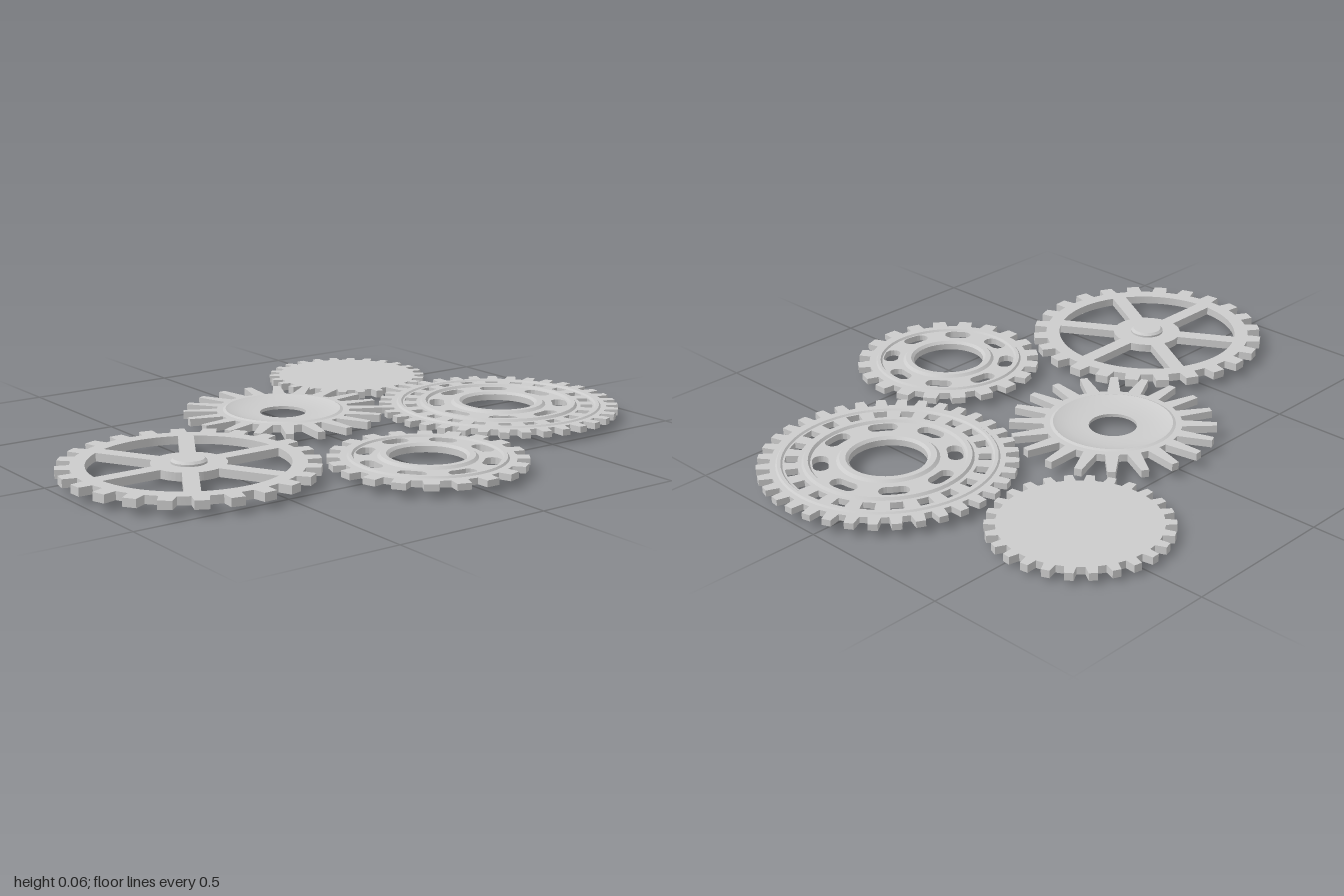
import * as THREE from 'three';
import { toCreasedNormals } from 'three/addons/utils/BufferGeometryUtils.js';

const TAU = Math.PI * 2;
const material = new THREE.MeshStandardMaterial({ color: 0xcccccc, side: THREE.DoubleSide });
const polar = (r, a) => new THREE.Vector2(r * Math.cos(a), r * Math.sin(a));

// Toothed outline: root and tip are fractions of one tooth pitch
function gearShape(teeth, rootR, tipR, rootFrac, tipFrac, phase = 0) {
  const pts = [], pitch = TAU / teeth;
  for (let i = 0; i < teeth; i++) {
    const a = phase + i * pitch, t = (tipFrac * pitch) / 2, b = (rootFrac * pitch) / 2;
    pts.push(polar(rootR, a - b), polar(tipR, a - t), polar(tipR, a + t), polar(rootR, a + b), polar(rootR, a + pitch / 2));
  }
  return new THREE.Shape(pts);
}

function circleHole(r) {
  return new THREE.Path().absarc(0, 0, r, 0, TAU, true);
}

// Annular sector opening; round gives it semicircular ends
function slot(r0, r1, mid, half, round) {
  const p = new THREE.Path(), a0 = mid - half, a1 = mid + half;
  const rm = (r0 + r1) / 2, e = (r1 - r0) / 2;
  p.absarc(0, 0, r1, a0, a1, false);
  if (round) {
    const c = polar(rm, a1);
    p.absarc(c.x, c.y, e, a1, a1 + Math.PI, false);
  }
  p.absarc(0, 0, r0, a1, a0, true);
  if (round) {
    const c = polar(rm, a0);
    p.absarc(c.x, c.y, e, a0 + Math.PI, a0 + TAU, false);
  }
  p.closePath();
  return p;
}

function addMesh(group, name, geometry) {
  const mesh = new THREE.Mesh(toCreasedNormals(geometry, 0.5), material);
  mesh.name = name;
  group.add(mesh);
}

function addPlate(group, name, shape, y0, y1) {
  const g = new THREE.ExtrudeGeometry(shape, { depth: y1 - y0, bevelEnabled: false, curveSegments: 24 });
  g.rotateX(-Math.PI / 2).translate(0, y0, 0);
  addMesh(group, name, g);
}

function addLathe(group, name, profile) {
  addMesh(group, name, new THREE.LatheGeometry(profile.map(([r, y]) => new THREE.Vector2(r, y)), 64));
}

// Low raised ring with sloping shoulders
function addRidge(group, name, r0, r1, y0, y1) {
  const s = (r1 - r0) * 0.25;
  addLathe(group, name, [[r1, y0], [r1 - s, y1], [r0 + s, y1], [r0, y0]]);
}

function gearGroup(parent, name, x, z) {
  const g = new THREE.Group();
  g.name = name;
  g.position.set(x, 0, z);
  parent.add(g);
  return g;
}

export function createModel() {
  const model = new THREE.Group();
  model.name = 'gearTrain';

  // Spoked wheel with six windows and an axle
  const spoked = gearGroup(model, 'spokedGear', -0.613, 0.157);
  const wheel = gearShape(24, 0.345, 0.388, 0.56, 0.42, 0.06);
  const inner = 0.3, hub = 0.113, w = 0.024;
  for (let i = 0; i < 6; i++) {
    const a0 = (i * TAU) / 6, a1 = a0 + TAU / 6;
    const p = new THREE.Path();
    p.absarc(0, 0, inner, a0 + Math.asin(w / inner), a1 - Math.asin(w / inner), false);
    p.absarc(0, 0, hub, a1 - Math.asin(w / hub), a0 + Math.asin(w / hub), true);
    p.closePath();
    wheel.holes.push(p);
  }
  addPlate(spoked, 'spokedWheel', wheel, 0.023, 0.049);
  addLathe(spoked, 'axle', [[0, 0], [0.046, 0], [0.054, 0.007], [0.054, 0.055], [0.046, 0.062], [0, 0.062]]);

  // Long-toothed gear with a dished centre
  const spiky = gearGroup(model, 'dishedGear', -0.025, -0.213);
  const spikes = gearShape(20, 0.215, 0.322, 0.62, 0.24, 1.66);
  spikes.holes.push(circleHole(0.185));
  addPlate(spiky, 'longTeeth', spikes, 0.024, 0.048);
  addLathe(spiky, 'dish', [
    [0.075, 0.028], [0.186, 0.028], [0.195, 0.048], [0.186, 0.052], [0.175, 0.048],
    [0.14, 0.041], [0.1, 0.038], [0.075, 0.038], [0.075, 0.028],
  ]);

  // Small slotted gear
  const small = gearGroup(model, 'smallSlottedGear', 0, 0.5);
  const smallPlate = gearShape(20, 0.262, 0.3, 0.6, 0.46, 1.55);
  smallPlate.holes.push(circleHole(0.115));
  for (let i = 0; i < 8; i++) smallPlate.holes.push(slot(0.168, 0.216, 1.43 + (i * TAU) / 8, 0.1, true));
  addPlate(small, 'slottedPlate', smallPlate, 0.024, 0.044);
  addRidge(small, 'hubRing', 0.115, 0.15, 0.044, 0.052);
  addRidge(small, 'outerRing', 0.22, 0.24, 0.044, 0.05);

  // Large gear with slots and a row of square openings
  const large = gearGroup(model, 'largeSlottedGear', 0.605, 0.123);
  const largePlate = gearShape(36, 0.352, 0.392, 0.62, 0.42, 0.03);
  largePlate.holes.push(circleHole(0.118));
  for (let i = 0; i < 8; i++) largePlate.holes.push(slot(0.178, 0.226, 0.14 + (i * TAU) / 8, 0.11, true));
  for (let i = 0; i < 22; i++) largePlate.holes.push(slot(0.27, 0.308, 0.07 + (i * TAU) / 22, 0.07, false));
  addPlate(large, 'perforatedPlate', largePlate, 0.024, 0.044);
  addRidge(large, 'hubRing', 0.118, 0.155, 0.044, 0.052);
  addRidge(large, 'middleRing', 0.232, 0.258, 0.044, 0.052);
  addRidge(large, 'outerRing', 0.314, 0.335, 0.044, 0.049);

  // Solid pinion, set slightly lower
  const solid = gearGroup(model, 'solidGear', 0.476, -0.539);
  addPlate(solid, 'solidPlate', gearShape(26, 0.24, 0.273, 0.58, 0.38, 1.6), 0.011, 0.035);

  return model;
}
